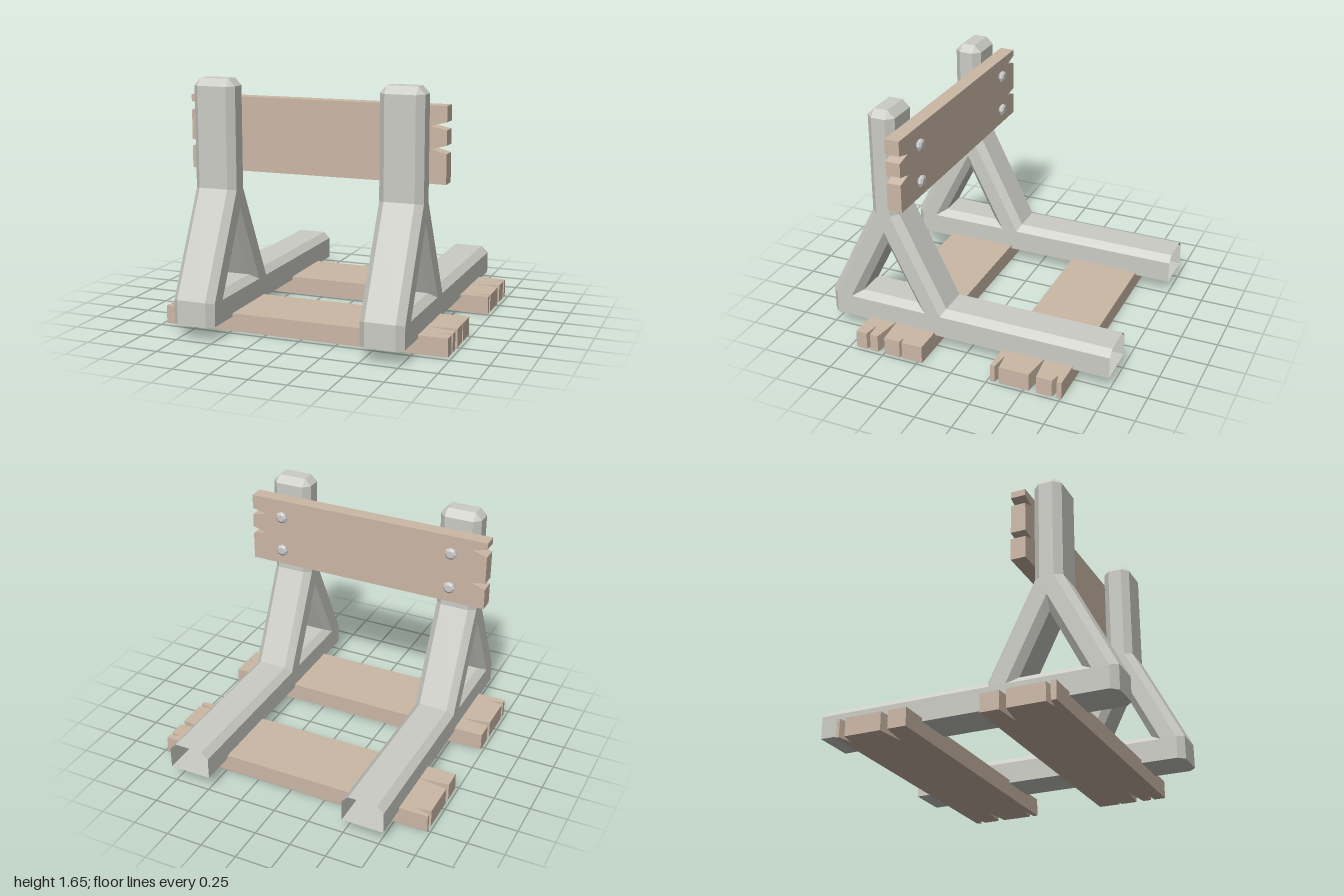
import * as THREE from 'three';
import { mergeGeometries } from 'three/addons/utils/BufferGeometryUtils.js';

const stone = new THREE.MeshStandardMaterial({ color: 0xccccc6, flatShading: true, side: THREE.DoubleSide });
const wood = new THREE.MeshStandardMaterial({ color: 0xccb8a6, flatShading: true });
const metal = new THREE.MeshStandardMaterial({ color: 0xcccccc, flatShading: true });

const FRAME_X = 0.635;

// Frame outlines as [z, y]: the flat side face, and the wider middle that its chamfers lead to.
const sideOutline = [[0.955, 0.1], [0.955, 0.25], [0.615, 0.925], [0.615, 1.6], [0.615, 1.6],
  [0.52, 1.6], [0.52, 1.6], [0.52, 0.925], [0.18, 0.25], [-1, 0.25], [-1, 0.1]];
const midOutline = [[1, 0.1], [1, 0.265], [0.662, 0.935], [0.662, 1.6], [0.615, 1.648],
  [0.52, 1.648], [0.472, 1.6], [0.472, 0.935], [0.153, 0.295], [-1, 0.295], [-1, 0.1]];
const sideHole = [[0.845, 0.25], [0.29, 0.25], [0.567, 0.8]];
const midHole = [[0.77, 0.295], [0.364, 0.295], [0.567, 0.7]];

// Skins the side, middle, middle and side loops; the segment numbered skip is left open.
function bands(sideLoop, midLoop, skip = -1) {
  const loops = [[0.145, sideLoop], [0.1, midLoop], [-0.1, midLoop], [-0.145, sideLoop]]
    .map(([x, loop]) => loop.map(([z, y]) => new THREE.Vector3(x, y, z)));
  const pos = [];
  const tri = (a, b, c) => {
    if (a.equals(b) || b.equals(c) || c.equals(a)) return;
    for (const p of [a, b, c]) pos.push(p.x, p.y, p.z);
  };
  for (let k = 0; k < 3; k++) {
    for (let i = 0; i < sideLoop.length; i++) {
      if (i === skip) continue;
      const j = (i + 1) % sideLoop.length;
      tri(loops[k][i], loops[k][j], loops[k + 1][j]);
      tri(loops[k][i], loops[k + 1][j], loops[k + 1][i]);
    }
  }
  const geo = new THREE.BufferGeometry();
  geo.setAttribute('position', new THREE.Float32BufferAttribute(pos, 3));
  return geo;
}

// Flat side with the triangular opening.
function sideFace(sign) {
  const points = (loop) => loop.map(([z, y]) => new THREE.Vector2(-sign * z, y));
  const shape = new THREE.Shape(points(sideOutline.filter((p, i) => i !== 4 && i !== 6)));
  shape.holes.push(new THREE.Path(points(sideHole)));
  const geo = new THREE.ShapeGeometry(shape).toNonIndexed();
  geo.rotateY(sign * Math.PI / 2).translate(sign * 0.145, 0, 0);
  geo.deleteAttribute('uv');
  geo.deleteAttribute('normal');
  return geo;
}

// Hollow frame: post, two sloping legs and a long foot, open at its back end.
function frameGeometry() {
  const geo = mergeGeometries([
    bands(sideOutline, midOutline, 9), bands(sideHole, midHole), sideFace(1), sideFace(-1),
  ]);
  geo.computeVertexNormals();
  return geo;
}

// Plank with split ends; each notch is [low edge, tip, high edge, tip x], from low to high.
function plankGeometry(x0, x1, v0, v1, thickness, leftNotches, rightNotches) {
  const pts = [[x0, v0], [x1, v0]];
  for (const [lo, tip, hi, x] of rightNotches) pts.push([x1, lo], [x, tip], [x1, hi]);
  pts.push([x1, v1], [x0, v1]);
  for (const [lo, tip, hi, x] of [...leftNotches].reverse()) pts.push([x0, hi], [x, tip], [x0, lo]);
  const shape = new THREE.Shape(pts.map(([x, v]) => new THREE.Vector2(x, v)));
  return new THREE.ExtrudeGeometry(shape, { depth: thickness, bevelEnabled: false });
}

export function createModel() {
  const model = new THREE.Group();
  model.name = 'bufferStop';
  const add = (name, geo, material) => {
    const mesh = new THREE.Mesh(geo, material);
    mesh.name = name;
    model.add(mesh);
    return mesh;
  };

  // Two frames
  const frame = frameGeometry();
  add('leftFrame', frame, stone).position.x = FRAME_X;
  add('rightFrame', frame, stone).position.x = -FRAME_X;

  // Sleepers, drawn with v = -z and laid flat
  const frontSleeper = plankGeometry(-0.98, 0.975, -0.705, -0.22, 0.122,
    [[-0.67, -0.655, -0.64, -0.88], [-0.39, -0.36, -0.345, -0.77]],
    [[-0.628, -0.612, -0.602, 0.865], [-0.545, -0.512, -0.495, 0.76], [-0.385, -0.374, -0.366, 0.925]]);
  const backSleeper = plankGeometry(-0.98, 0.975, 0.27, 0.757, 0.122,
    [[0.395, 0.418, 0.445, -0.775], [0.695, 0.71, 0.735, -0.885]],
    [[0.3, 0.317, 0.33, 0.845], [0.535, 0.562, 0.585, 0.77], [0.692, 0.708, 0.725, 0.905]]);
  add('frontSleeper', frontSleeper.rotateX(-Math.PI / 2), wood);
  add('backSleeper', backSleeper.rotateX(-Math.PI / 2), wood);

  // Upright board behind the posts
  const board = plankGeometry(-0.88, 0.877, 1.03, 1.52, 0.1,
    [[1.177, 1.208, 1.222, -0.78], [1.418, 1.448, 1.476, -0.785]],
    [[1.222, 1.248, 1.275, 0.775], [1.37, 1.392, 1.42, 0.77]]);
  add('board', board.translate(0, 0, 0.372), wood);

  // Bolts on the back of the board
  const profile = [[0.024, 0], [0.042, 0.018], [0.042, 0.03], [0.026, 0.041], [0, 0.041]];
  const bolt = new THREE.LatheGeometry(profile.map(([r, h]) => new THREE.Vector2(r, h)), 8);
  bolt.rotateX(-Math.PI / 2);
  for (const x of [-FRAME_X, FRAME_X]) {
    for (const y of [1.148, 1.402]) add('bolt', bolt, metal).position.set(x, y, 0.373);
  }
  return model;
}
